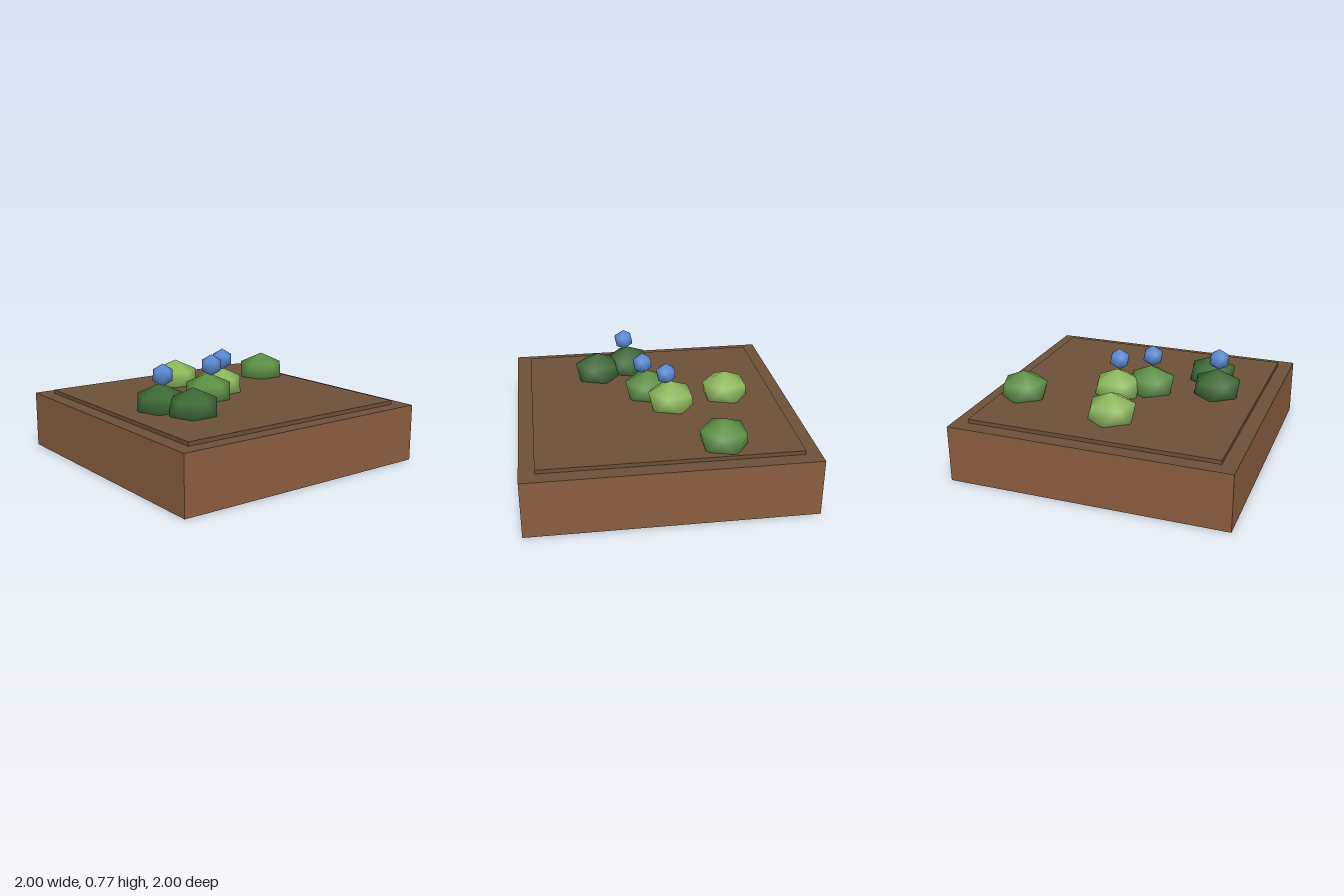
import * as THREE from 'three';
import { mergeVertices } from 'three/addons/utils/BufferGeometryUtils.js';
import { ConvexGeometry } from 'three/addons/geometries/ConvexGeometry.js';

const mat = (name, color) => {
  const m = new THREE.MeshStandardMaterial({ color });
  m.name = name;
  return m;
};

// Smooth-shaded icosahedron standing on a vertex, upper ring pointing to +x
function icoBall(rx, ry) {
  const pts = [new THREE.Vector3(0, ry, 0), new THREE.Vector3(0, -ry, 0)];
  const h = 1 / Math.sqrt(5), r = 2 / Math.sqrt(5);
  for (let i = 0; i < 10; i++) {
    const a = (i * Math.PI) / 5;
    pts.push(new THREE.Vector3(rx * r * Math.cos(a), ry * (i % 2 ? -h : h), rx * r * Math.sin(a)));
  }
  const raw = new ConvexGeometry(pts);
  raw.deleteAttribute('normal');
  const geo = mergeVertices(raw, 1e-4);
  geo.computeVertexNormals();
  return geo;
}

export function createModel() {
  const group = new THREE.Group();
  group.name = 'gardenBed';

  const wood = mat('boxBrown', 0x8b5e3f);
  const soil = mat('soilBrown', 0x6d5038);
  const light = mat('lightGreen', 0x8fba5c);
  const mid = mat('midGreen', 0x5d9244);
  const dark = mat('darkGreen', 0x3e6b37);
  const blue = mat('flowerBlue', 0x5b8cd8);

  const add = (name, geo, material, x, y, z) => {
    const mesh = new THREE.Mesh(geo, material);
    mesh.name = name;
    mesh.position.set(x, y, z);
    group.add(mesh);
  };

  // Planter block with a soil-coloured top face, and the raised soil bed
  const base = new THREE.BoxGeometry(2, 0.41, 2);
  add('planterBox', base, [wood, wood, soil, wood, wood, wood], 0, 0.205, 0);
  add('soilBed', new THREE.BoxGeometry(1.79, 0.04, 1.79), soil, 0, 0.418, 0);

  // Flattened bushes sunk into the soil
  const bushGeo = icoBall(0.188, 0.143);
  [
    [-0.375, -0.72, mid],
    [-0.537, 0.02, light],
    [-0.115, -0.095, light],
    [0.03, 0.115, mid],
    [0.123, 0.59, dark],
    [0.374, 0.49, dark],
  ].forEach(([x, z, m], i) => add(`bush${i + 1}`, bushGeo, m, x, 0.484, z));

  // Round blossoms above three of the bushes
  const flowerGeo = icoBall(0.079, 0.079);
  [[-0.075, -0.092], [0.07, 0.115], [0.158, 0.592]]
    .forEach(([x, z], i) => add(`blossom${i + 1}`, flowerGeo, blue, x, 0.689, z));

  return group;
}
